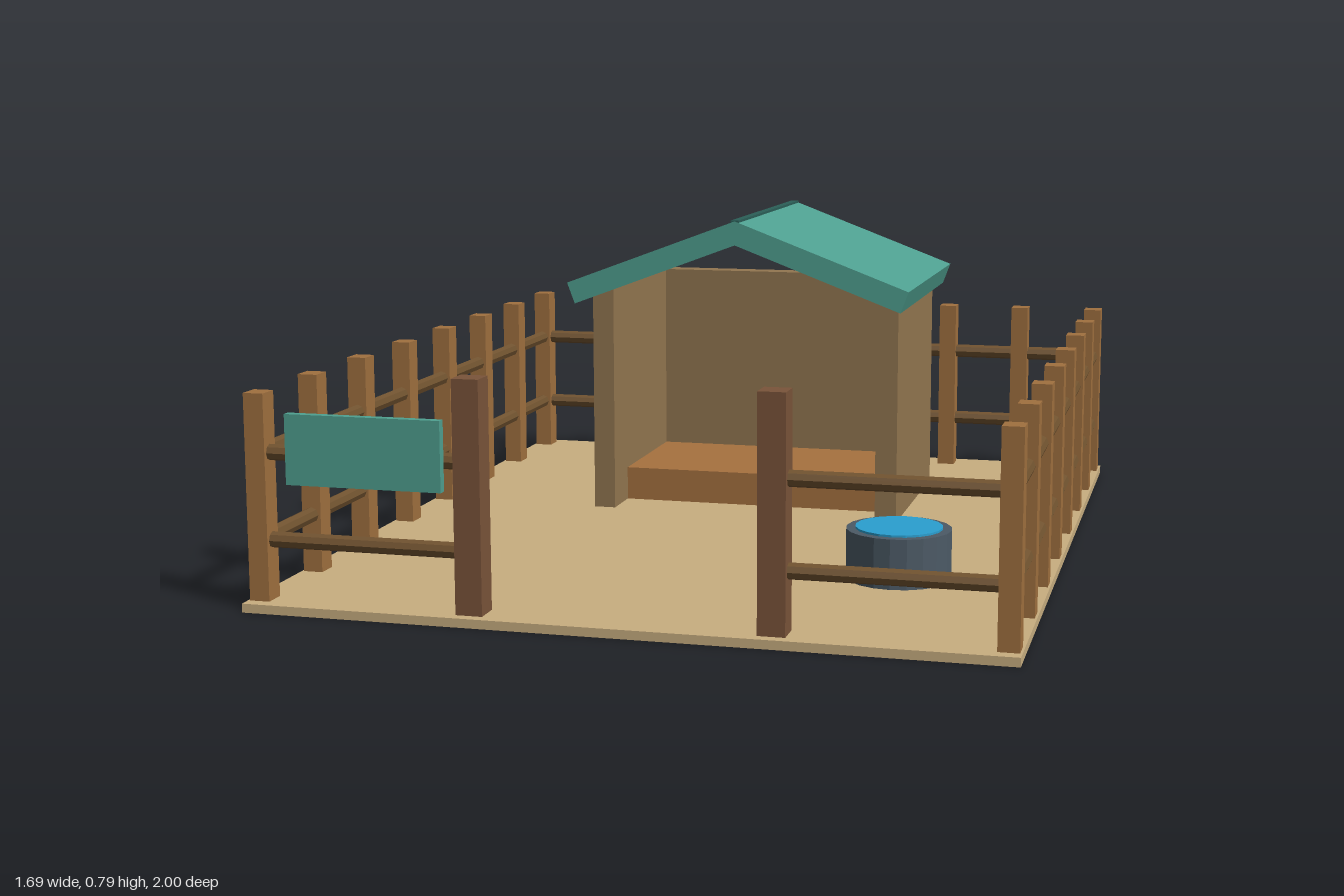
import * as THREE from 'three';

const mat = (color) => new THREE.MeshStandardMaterial({ color, flatShading: true });

export function createModel() {
  const root = new THREE.Group();
  const M = {
    ground: mat(0xc8ae80), post: mat(0xa0703f), rail: mat(0x70522f), gate: mat(0x7a543a),
    wall: mat(0x927650), bed: mat(0xa6713f), teal: mat(0x4fa090), ridge: mat(0x2b5f58),
    tub: mat(0x4c5a66), water: mat(0x2a9fd0),
  };

  const add = (parent, name, geo, material, x = 0, y = 0, z = 0) => {
    const mesh = new THREE.Mesh(geo, material);
    mesh.name = name;
    mesh.position.set(x, y, z);
    parent.add(mesh);
    return mesh;
  };
  // Box given by its lower and upper limits on each axis
  const box = (parent, name, material, [x0, x1], [y0, y1], [z0, z1]) =>
    add(parent, name, new THREE.BoxGeometry(x1 - x0, y1 - y0, z1 - z0), material,
      (x0 + x1) / 2, (y0 + y1) / 2, (z0 + z1) / 2);
  const group = (name) => {
    const g = new THREE.Group();
    g.name = name;
    root.add(g);
    return g;
  };

  const FLOOR = 0.02, FX = 0.817, FZ = 0.945, GATE = 0.33;

  box(root, 'ground', M.ground, [-0.845, 0.845], [0, FLOOR], [-1, 1]);

  // Fence posts
  const fence = group('fence');
  const post = (x, z) => box(fence, 'fencePost', M.post,
    [x - 0.023, x + 0.023], [FLOOR, 0.48], [z - 0.026, z + 0.026]);
  for (const s of [-1, 1]) {
    for (let i = 0; i < 8; i++) post(s * FX, -FZ + (i * 2 * FZ) / 7);
  }
  for (let i = 1; i < 8; i++) post(-FX + (i * 2 * FX) / 8, -FZ);

  // Round rails, two per run
  const rails = (x0, z0, x1, z1) => {
    const length = Math.hypot(x1 - x0, z1 - z0);
    for (const y of [0.154, 0.348]) {
      const rail = add(fence, 'rail', new THREE.CylinderGeometry(0.018, 0.018, length, 8),
        M.rail, (x0 + x1) / 2, y, (z0 + z1) / 2);
      if (x0 === x1) rail.rotation.x = Math.PI / 2;
      else rail.rotation.z = Math.PI / 2;
    }
  };
  rails(-FX, -FZ, FX, -FZ);
  for (const s of [-1, 1]) {
    rails(s * FX, -FZ, s * FX, FZ);
    rails(s * GATE, FZ, s * FX, FZ);
    // Taller posts beside the entrance
    box(fence, 'gatePost', M.gate, [s * GATE - 0.03, s * GATE + 0.03], [FLOOR, 0.53],
      [FZ - 0.03, FZ + 0.03]);
  }

  box(root, 'signBoard', M.teal, [-0.74, -0.385], [0.285, 0.44], [0.962, 0.982]);

  // Shelter with an open front and a raised bed
  const shelter = group('shelter');
  box(shelter, 'backWall', M.wall, [-0.4, 0.4], [FLOOR, 0.597], [-0.675, -0.62]);
  for (const s of [-1, 1]) {
    box(shelter, 'sideWall', M.wall, [s * 0.3725 - 0.0275, s * 0.3725 + 0.0275],
      [FLOOR, 0.597], [-0.66, -0.125]);
  }
  box(shelter, 'bed', M.bed, [-0.345, 0.345], [FLOOR, 0.105], [-0.62, -0.24]);

  // Gabled roof: bent slab profile extruded front to back
  const roof = new THREE.Shape([
    [0, 0.785], [-0.44, 0.62], [-0.42, 0.567], [0, 0.725], [0.42, 0.567], [0.44, 0.62],
  ].map(([x, y]) => new THREE.Vector2(x, y)));
  add(shelter, 'roof', new THREE.ExtrudeGeometry(roof, { depth: 0.7, bevelEnabled: false }),
    M.teal, 0, 0, -0.735);
  box(shelter, 'roofRidge', M.ridge, [-0.01, 0.01], [0.765, 0.787], [-0.734, -0.036]);

  // Water tub
  const trough = group('waterTub');
  add(trough, 'tub', new THREE.CylinderGeometry(0.121, 0.121, 0.115, 20), M.tub, 0.5, 0.0775, 0.42);
  add(trough, 'water', new THREE.CylinderGeometry(0.1, 0.1, 0.02, 20), M.water, 0.5, 0.13, 0.42);

  return root;
}
